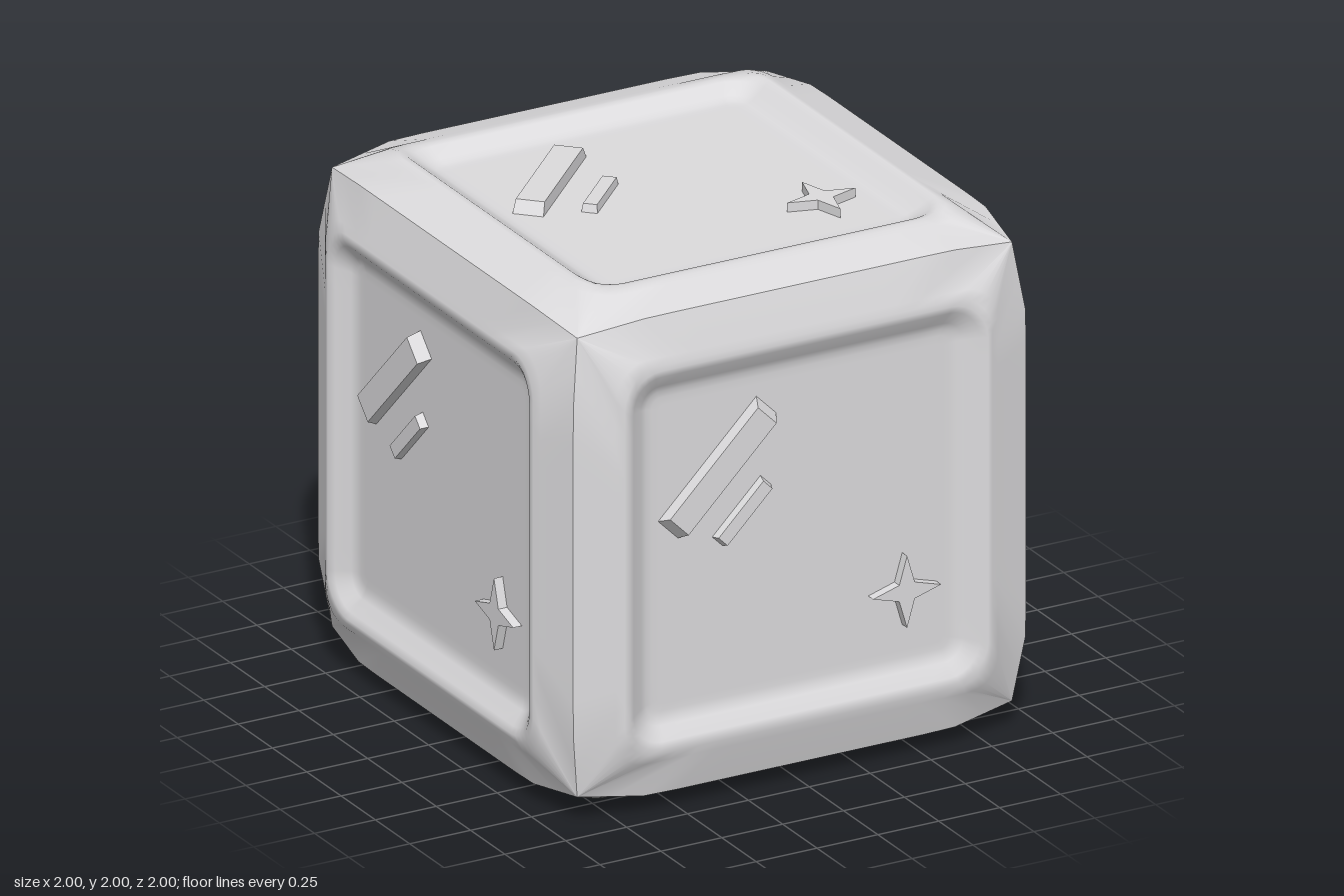
import * as THREE from 'three';

const SIDE = 15, ARC = 7;

// One closed rounded-square loop: half size s, height h, corner radius r.
// drop lowers the upper and lower sides between the corners; pinch cuts back the corners of the outer edge.
function ring(s, h, r, drop = 0, pinch = 0) {
  const pts = [];
  for (let k = 0; k < 4; k++) {
    const c = Math.cos(k * Math.PI / 2), n = Math.sin(k * Math.PI / 2);
    const add = (a, b, z) => {
      const x = a * c - b * n, y = a * n + b * c;
      pts.push([x, y, z - drop * THREE.MathUtils.clamp((0.735 - Math.abs(x)) / 0.05, 0, 1)]);
    };
    const m = s - pinch - r;
    for (let i = 0; i < SIDE; i++) {
      const f = (i / (SIDE - 1)) * 2 - 1;
      const q = Math.max(0, (Math.abs(f) - 0.7) / 0.3);
      add(s - pinch * q, f * m, h - pinch * q);
    }
    for (let i = 1; i < ARC; i++) {
      const a = (i / ARC) * Math.PI / 2;
      add(m + r * Math.cos(a), m + r * Math.sin(a), h - pinch);
    }
  }
  return pts;
}

// Raised frame sloping down into a sunken floor
const FLOOR = 0.932;
function panelGeometry(drop) {
  const rings = [
    ring(0.93, 0.93, 0, 0, 0.037),
    ring(0.785, 0.982, 0.13, drop * 0.5),
    ring(0.755, 0.996, 0.14, drop),
    ring(0.735, 1.0, 0.14, drop),
    ring(0.71, 0.985, 0.12, drop * 0.4),
    ring(0.66, 0.945, 0.08),
    ring(0.635, 0.935, 0.06),
    ring(0.61, FLOOR, 0.04),
    ring(0.58, FLOOR, 0.02),
  ];
  const n = rings[0].length, pos = rings.flat(2), idx = [];
  pos.push(0, 0, FLOOR);
  for (let j = 0; j < rings.length; j++) {
    for (let i = 0; i < n; i++) {
      const a = j * n + i, b = j * n + (i + 1) % n;
      if (j === rings.length - 1) idx.push(a, b, rings.length * n);
      else idx.push(a, b, b + n, a, b + n, a + n);
    }
  }
  const g = new THREE.BufferGeometry();
  g.setAttribute('position', new THREE.Float32BufferAttribute(pos, 3));
  g.setIndex(idx);
  g.computeVertexNormals();
  return g;
}

// Slanted bar whose ends slope inward
function barGeometry(x, y, length, width, height, slope) {
  const g = new THREE.BoxGeometry(length, width, height).toNonIndexed();
  const p = g.attributes.position;
  for (let i = 0; i < p.count; i++) {
    if (p.getZ(i) < 0) continue;
    p.setX(i, p.getX(i) - Math.sign(p.getX(i)) * slope);
    p.setY(i, p.getY(i) - Math.sign(p.getY(i)) * 0.004);
  }
  g.computeVertexNormals();
  g.rotateZ(Math.PI / 4);
  g.translate(x, y, FLOOR + height / 2);
  return g;
}

// Four-pointed sparkle
function starGeometry() {
  const pts = [];
  for (let i = 0; i < 8; i++) {
    const r = i % 2 ? 0.045 : 0.14, a = i * Math.PI / 4;
    pts.push(new THREE.Vector2(r * Math.cos(a), r * Math.sin(a)));
  }
  const g = new THREE.ExtrudeGeometry(new THREE.Shape(pts), { depth: 0.036, bevelEnabled: false });
  g.translate(0.42, -0.342, FLOOR);
  return g;
}

export function createModel() {
  const model = new THREE.Group();
  model.name = 'cube';
  const grey = new THREE.MeshStandardMaterial({ color: 0xdcdbdd });
  grey.name = 'light grey';

  const panel = panelGeometry(0.018), evenPanel = panelGeometry(0.003);
  const details = {
    longGlint: barGeometry(-0.34, 0.29, 0.57, 0.115, 0.046, 0.03),
    shortGlint: barGeometry(-0.24, 0.1, 0.28, 0.06, 0.03, 0.01),
    sparkle: starGeometry(),
  };

  // Six faces; the bottom one is plain
  const H = Math.PI / 2;
  const faces = [
    ['front', 0, 0], ['back', 0, Math.PI], ['left', 0, H],
    ['right', 0, -H], ['top', -H, 0], ['bottom', H, 0],
  ];
  for (const [name, rx, ry] of faces) {
    const face = new THREE.Group();
    face.name = name + 'Face';
    face.rotation.set(rx, ry, 0);
    face.position.y = 1;
    const add = (geometry, part) => {
      const mesh = new THREE.Mesh(geometry, grey);
      mesh.name = name + part[0].toUpperCase() + part.slice(1);
      face.add(mesh);
    };
    add(name === 'left' || name === 'right' ? evenPanel : panel, 'panel');
    if (name !== 'bottom') for (const part in details) add(details[part], part);
    model.add(face);
  }
  return model;
}
